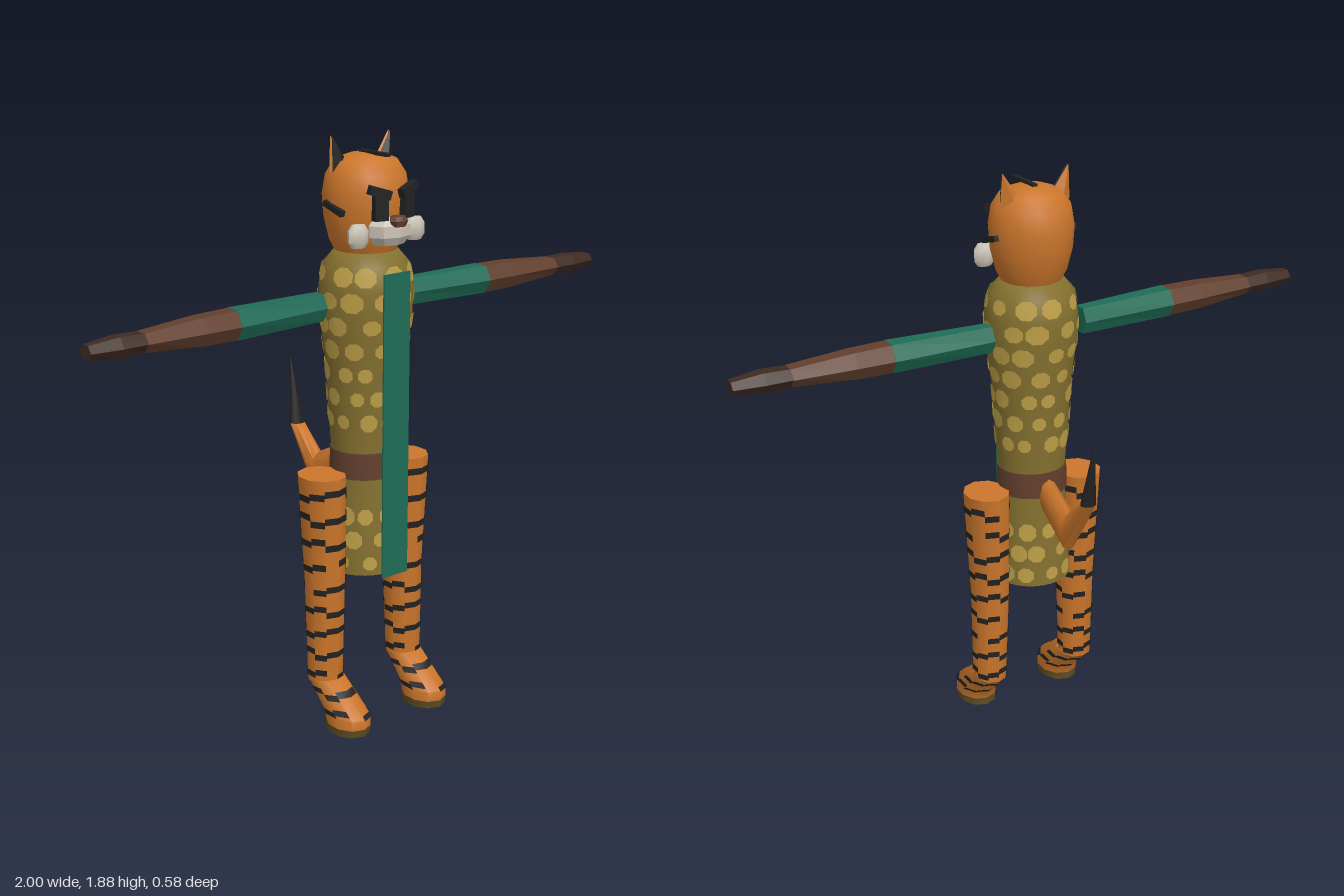
import * as THREE from 'three';
import { toCreasedNormals } from 'three/addons/utils/BufferGeometryUtils.js';

const mat = (name, color) => {
  const m = new THREE.MeshStandardMaterial({ color, side: THREE.DoubleSide });
  m.name = name;
  return m;
};
const V = (x, y, z) => new THREE.Vector3(x, y, z);
// A ring is [centre, u axis, v axis]; lofts advance along u x v
const flatRing = (x, y, z, rx, rz, tilt = 0) => [V(x, y, z), V(0, tilt, rz), V(rx, 0, 0)];
const onRing = ([c, u, v], a, k = 1) =>
  c.clone().addScaledVector(u, Math.cos(a) * k).addScaledVector(v, Math.sin(a) * k);
const ringAt = (rings, f) => {
  const i = Math.max(0, Math.min(rings.length - 2, Math.floor(f)));
  return rings[i].map((p, k) => p.clone().lerp(rings[i + 1][k], f - i));
};

function fromTriangles(points, crease) {
  const g = new THREE.BufferGeometry().setFromPoints(points);
  g.computeVertexNormals();
  return crease ? toCreasedNormals(g, crease) : g;
}

// Closed skin over a list of rings
function loft(rings, n, crease = 0.9) {
  const t = [], step = Math.PI * 2 / n, last = rings.length - 1;
  for (let j = 0; j < n; j++) {
    const a = j * step, b = a + step;
    for (let i = 0; i < last; i++) {
      const p = onRing(rings[i], a), q = onRing(rings[i], b);
      const r = onRing(rings[i + 1], b), s = onRing(rings[i + 1], a);
      t.push(p, q, r, p, r, s);
    }
    t.push(rings[0][0], onRing(rings[0], b), onRing(rings[0], a));
    t.push(rings[last][0], onRing(rings[last], a), onRing(rings[last], b));
  }
  return fromTriangles(t, crease);
}

// Stepped stripes lying just above a lofted skin
function stripes(rings, n, rows, half, jump) {
  const t = [], step = Math.PI * 2 / n;
  rows.forEach((row, k) => {
    for (let j = 0; j < n; j++) {
      if ((j * 3 + k * 4) % 10 === 7) continue;
      const f = row + jump * ((j + k) % 3 - 1), a = j * step, b = a + step;
      const lo = ringAt(rings, f - half), hi = ringAt(rings, f + half);
      const p = onRing(lo, a, 1.04), q = onRing(lo, b, 1.04);
      const r = onRing(hi, b, 1.04), s = onRing(hi, a, 1.04);
      t.push(p, q, r, p, r, s);
    }
  });
  return fromTriangles(t, 1.2);
}

const lathe = (pts, n) =>
  toCreasedNormals(new THREE.LatheGeometry(pts.map(p => new THREE.Vector2(p[0], p[1])), n), 0.9);

export function createModel() {
  const root = new THREE.Group();
  const orange = mat('orange fur', 0xcb762b), black = mat('black markings', 0x222222);
  const olive = mat('olive tunic', 0x84702f), gold = mat('gold spots', 0xbd9f47);
  const green = mat('green cloth', 0x1f6c56), brown = mat('brown leather', 0x623f2d);
  const dark = mat('dark glove', 0x3e2a21), white = mat('pale fur', 0xcdc5b8);
  const soleMat = mat('olive sole', 0x5e4c22);
  const add = (name, geo, material, parent = root) => {
    const m = new THREE.Mesh(geo, material);
    m.name = name;
    parent.add(m);
    return m;
  };
  const box = (name, w, h, d, x, y, z, material, parent) => {
    const m = add(name, new THREE.BoxGeometry(w, h, d), material, parent);
    m.position.set(x, y, z);
    return m;
  };

  // Tunic: one long turned shape, slightly flattened front to back
  const ZC = 0.095, ZS = 0.96;
  const profile = [[0.126, 0.5], [0.117, 0.68], [0.11, 0.82], [0.11, 0.9], [0.118, 1.0],
    [0.128, 1.18], [0.147, 1.33], [0.149, 1.42], [0.135, 1.49], [0.1, 1.53]];
  const radiusAt = y => {
    let i = 0;
    while (i < profile.length - 2 && profile[i + 1][1] < y) i++;
    const [r0, y0] = profile[i], [r1, y1] = profile[i + 1];
    return r0 + (r1 - r0) * (y - y0) / (y1 - y0);
  };
  const tunic = new THREE.Group();
  tunic.name = 'tunic';
  tunic.position.z = ZC;
  tunic.scale.z = ZS;
  root.add(tunic);
  add('tunicBody', lathe([[0, 0.5], ...profile, [0, 1.53]], 28), olive, tunic);

  // Spots: staggered eight-sided patches wrapped on the tunic
  const spots = [];
  for (let row = 0; row < 13; row++) {
    const y = 0.54 + row * 0.077;
    if (y > 0.77 && y < 0.94) continue;
    for (let k = 0; k < 10; k++) {
      const a = (k + (row % 2) * 0.5 + 0.12 * Math.sin(row * 5 + k * 3)) * Math.PI / 5;
      const size = 0.9 + 0.15 * Math.sin(row * 7 + k * 11);
      const at = (da, dy) => {
        const r = radiusAt(y + dy) + 0.004;
        return V(Math.sin(a + da) * r, y + dy, Math.cos(a + da) * r);
      };
      const rim = j => {
        const w = (j + 0.5) * Math.PI / 4;
        return at(Math.cos(w) * 0.25 * size, Math.sin(w) * 0.031 * size);
      };
      for (let j = 0; j < 8; j++) spots.push(at(0, 0), rim(j), rim(j + 1));
    }
  }
  add('tunicSpots', fromTriangles(spots, 1), gold, tunic);
  add('belt', lathe([[0.108, 0.815], [0.116, 0.815], [0.114, 0.9], [0.108, 0.9]], 28), brown, tunic);
  box('frontSash', 0.104, 0.975, 0.005, 0, 0.9875, 0.239, green);

  // Head
  const head = new THREE.Group();
  head.name = 'head';
  root.add(head);
  const skull = add('skull', lathe([[0, 1.5], [0.09, 1.515], [0.113, 1.56], [0.13, 1.63],
    [0.135, 1.7], [0.125, 1.76], [0.097, 1.803], [0.05, 1.82], [0, 1.823]], 20), orange, head);
  skull.position.z = 0.092;
  skull.scale.z = 0.97;
  box('crownStripe', 0.018, 0.01, 0.13, 0, 1.824, 0.133, black, head);

  // Muzzle and nose
  add('muzzle', loft([
    flatRing(0, 1.56, 0.195, 0.055, 0.045), flatRing(0, 1.585, 0.2, 0.075, 0.055),
    flatRing(0, 1.62, 0.2, 0.078, 0.055), flatRing(0, 1.645, 0.195, 0.055, 0.045)], 8, 0.5), white, head);
  add('nose', loft([
    flatRing(0, 1.618, 0.243, 0.024, 0.02), flatRing(0, 1.635, 0.245, 0.034, 0.022),
    flatRing(0, 1.648, 0.24, 0.026, 0.02)], 8, 0.5), brown, head);

  for (const s of [1, -1]) {
    const side = s > 0 ? 'left' : 'right';
    // Face details
    box(side + 'Eye', 0.045, 0.08, 0.024, s * 0.053, 1.677, 0.222, black, head).rotation.y = s * 0.25;
    const brow = box(side + 'Brow', 0.072, 0.028, 0.024, s * 0.056, 1.721, 0.222, black, head);
    brow.rotation.set(0, s * 0.25, s * 0.3);
    box(side + 'CheekStripe', 0.018, 0.018, 0.085, s * 0.135, 1.668, 0.105, black, head).rotation.x = 0.3;
    add(side + 'CheekTuft', loft([
      flatRing(s * 0.112, 1.558, 0.19, 0.024, 0.017), flatRing(s * 0.112, 1.575, 0.19, 0.035, 0.026),
      flatRing(s * 0.112, 1.61, 0.19, 0.035, 0.026), flatRing(s * 0.112, 1.627, 0.19, 0.024, 0.017)], 8),
      white, head);
    // Ears: orange back with a dark inner face
    const ear = (lift, k) => loft([flatRing(s * 0.08, 1.77, 0.068 + lift, 0.042 * k, 0.03 * k),
      flatRing(s * 0.114, 1.877, 0.063 + lift, 0.001, 0.001)], 4, 0);
    add(side + 'Ear', ear(0, 1), orange, head);
    add(side + 'EarInner', ear(0.009, 0.88), black, head);

    // Arms: six-sided sleeve, bracer and glove
    const armRing = ([x, z, ry, rz]) =>
      [V(s * x, 1.366, z), V(0, 0, rz), V(0, -s * ry / 0.866, 0)];
    const arm = new THREE.Group();
    arm.name = side + 'Arm';
    root.add(arm);
    const limb = (name, rings, m) => add(name, loft(rings.map(armRing), 6, 0), m, arm);
    limb('sleeve', [[0.163, 0.07, 0.042, 0.04], [0.5, 0.083, 0.045, 0.053]], green);
    limb('bracer', [[0.5, 0.083, 0.044, 0.052], [0.62, 0.085, 0.042, 0.05],
      [0.82, 0.09, 0.028, 0.042]], brown);
    limb('glove', [[0.82, 0.09, 0.028, 0.04], [0.9, 0.092, 0.031, 0.04],
      [1.0, 0.092, 0.021, 0.029]], dark);

    // Legs and feet with stepped stripes
    const leg = new THREE.Group();
    leg.name = side + 'Leg';
    root.add(leg);
    const legRings = [flatRing(s * 0.167, 0.14, 0.095, 0.056, 0.06),
      flatRing(s * 0.164, 0.47, 0.09, 0.064, 0.068), flatRing(s * 0.173, 0.835, 0.088, 0.074, 0.082)];
    add('legBody', loft(legRings, 10), orange, leg);
    add('legStripes', stripes(legRings, 10,
      [0.09, 0.31, 0.53, 0.76, 0.99, 1.2, 1.41, 1.63, 1.85], 0.03, 0.03), black, leg);
    const footRings = [flatRing(s * 0.163, 0.025, 0.207, 0.066, 0.081),
      flatRing(s * 0.163, 0.058, 0.202, 0.066, 0.086), flatRing(s * 0.166, 0.148, 0.1, 0.057, 0.064, 0.008)];
    add('foot', loft(footRings, 10), orange, leg);
    add('footStripes', stripes(footRings, 10, [1.1, 1.65], 0.08, 0.08), black, leg);
    add('sole', loft([flatRing(s * 0.163, 0, 0.205, 0.064, 0.08), footRings[0]], 10), soleMat, leg);
  }

  // Tail: down from the belt, then bent up to a dark point
  const bend = [V(0, 0.745, -0.143), V(0, 0.07, 0), V(0.032, 0, 0)];
  const upper = flatRing(0, 0.89, -0.255, 0.027, 0.022);
  add('tail', loft([[V(0, 0.825, -0.0), V(0, 0.06, 0), V(0.032, 0, 0)], bend, upper], 8), orange);
  add('tailTip', loft([upper, flatRing(0, 1.11, -0.289, 0.001, 0.001)], 8), black);
  return root;
}
